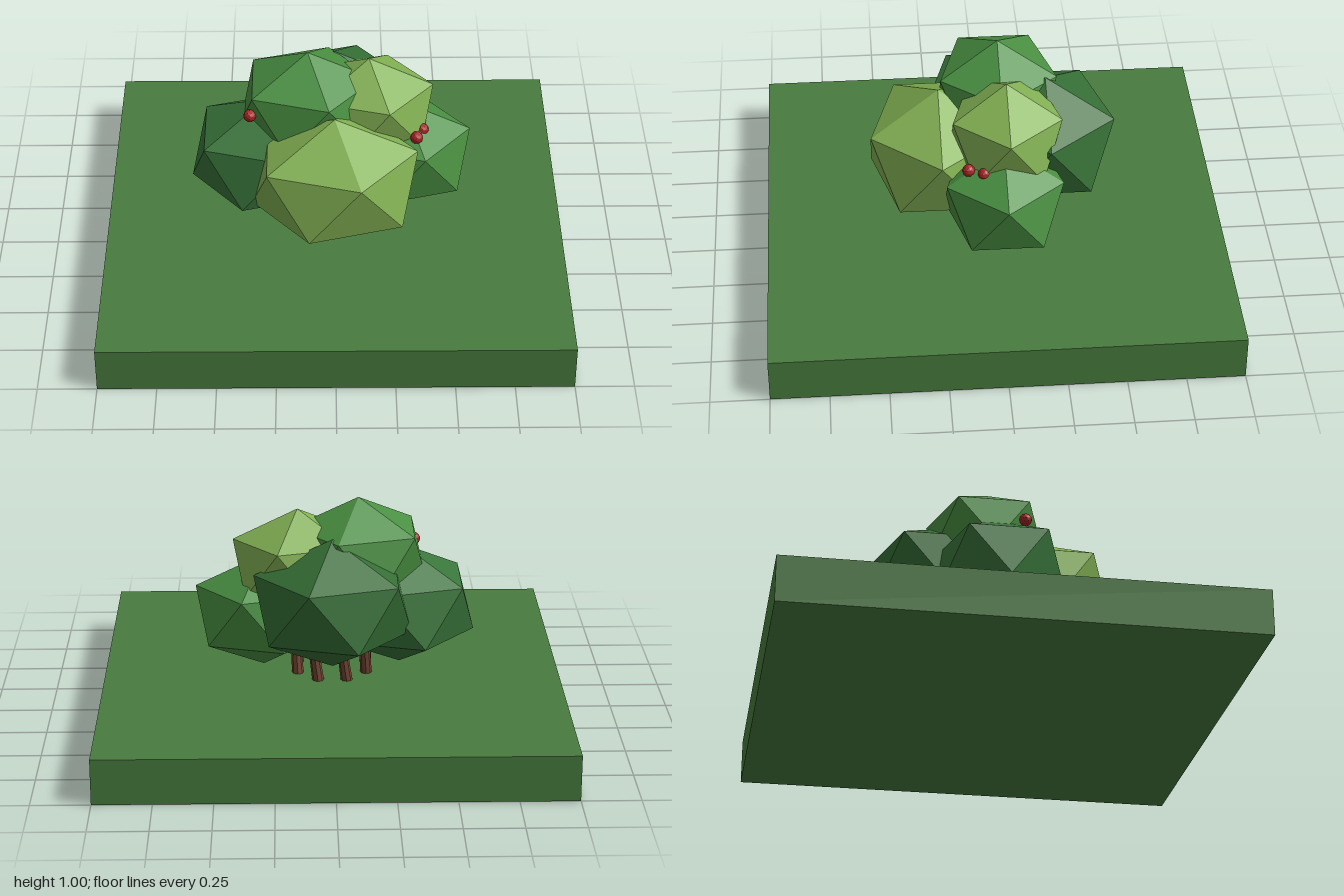
import * as THREE from 'three';

const material = (color) => new THREE.MeshStandardMaterial({ color, flatShading: true });

// Unit icosahedron standing on one corner: two poles and two five-point rings
function poleIcosahedron() {
  const ring = (y, turn) => Array.from({ length: 5 }, (_, k) => {
    const a = (k * 2 * Math.PI) / 5 + turn;
    return [0.8944 * Math.cos(a), y, 0.8944 * Math.sin(a)];
  });
  const top = [0, 1, 0], bottom = [0, -1, 0];
  const U = ring(0.4472, 0), L = ring(-0.4472, Math.PI / 5);
  const corners = [];
  for (let k = 0; k < 5; k++) {
    const n = (k + 1) % 5;
    corners.push(top, U[n], U[k], U[k], U[n], L[k], L[n], L[k], U[n], bottom, L[k], L[n]);
  }
  const geo = new THREE.BufferGeometry();
  geo.setAttribute('position', new THREE.Float32BufferAttribute(corners.flat(), 3));
  geo.computeVertexNormals();
  return geo;
}

export function createModel() {
  const model = new THREE.Group();
  model.name = 'berryBush';
  const add = (name, geo, mat, parent = model) => {
    const mesh = new THREE.Mesh(geo, mat);
    mesh.name = name;
    parent.add(mesh);
    return mesh;
  };

  // Square slab of ground
  add('ground', new THREE.BoxGeometry(2, 0.2, 2), material(0x487c3e)).position.y = 0.1;

  // Leaf clumps: name, centre, half sizes, colour
  const leaves = new THREE.Group();
  leaves.name = 'foliage';
  model.add(leaves);
  const clump = poleIcosahedron();
  const clumps = [
    ['frontClump', [0, 0.533, 0.235], [0.4, 0.3, 0.35], 0x82b153],
    ['backClump', [0, 0.585, -0.23], [0.38, 0.29, 0.345], 0x356e35],
    ['rightClump', [-0.3, 0.503, 0], [0.365, 0.275, 0.323], 0x39753a],
    ['leftClump', [0.3, 0.486, -0.03], [0.33, 0.255, 0.293], 0x4a9042],
    ['topRightClump', [-0.115, 0.75, -0.03], [0.33, 0.25, 0.297], 0x4a9042],
    ['topLeftClump', [0.15, 0.71, -0.05], [0.313, 0.245, 0.275], 0x82b153],
  ];
  for (const [name, centre, size, color] of clumps) {
    const mesh = add(name, clump, material(color), leaves);
    mesh.position.set(...centre);
    mesh.scale.set(...size);
  }

  // Ring of eight stems with a slight swirl
  const stems = new THREE.Group();
  stems.name = 'stems';
  model.add(stems);
  const bark = material(0x6e4430);
  const stemGeo = new THREE.CylinderGeometry(0.018, 0.026, 0.36, 8).translate(0, 0.17, 0);
  const up = new THREE.Vector3(0, 1, 0);
  for (let i = 0; i < 8; i++) {
    const a = ((i + 0.5) * Math.PI) / 4;
    const stem = add('stem', stemGeo, bark, stems);
    stem.position.set(0.163 * Math.cos(a), 0.2, 0.163 * Math.sin(a));
    const lean = new THREE.Vector3(-0.15 * Math.sin(a), 1, 0.15 * Math.cos(a)).normalize();
    stem.quaternion.setFromUnitVectors(up, lean);
  }

  // Berries
  const red = material(0xa82424);
  const berryGeo = new THREE.IcosahedronGeometry(0.028, 1);
  for (const p of [[-0.365, 0.765, 0.105], [0.355, 0.66, 0.125], [0.382, 0.658, 0.06]]) {
    add('berry', berryGeo, red).position.set(...p);
  }
  return model;
}
